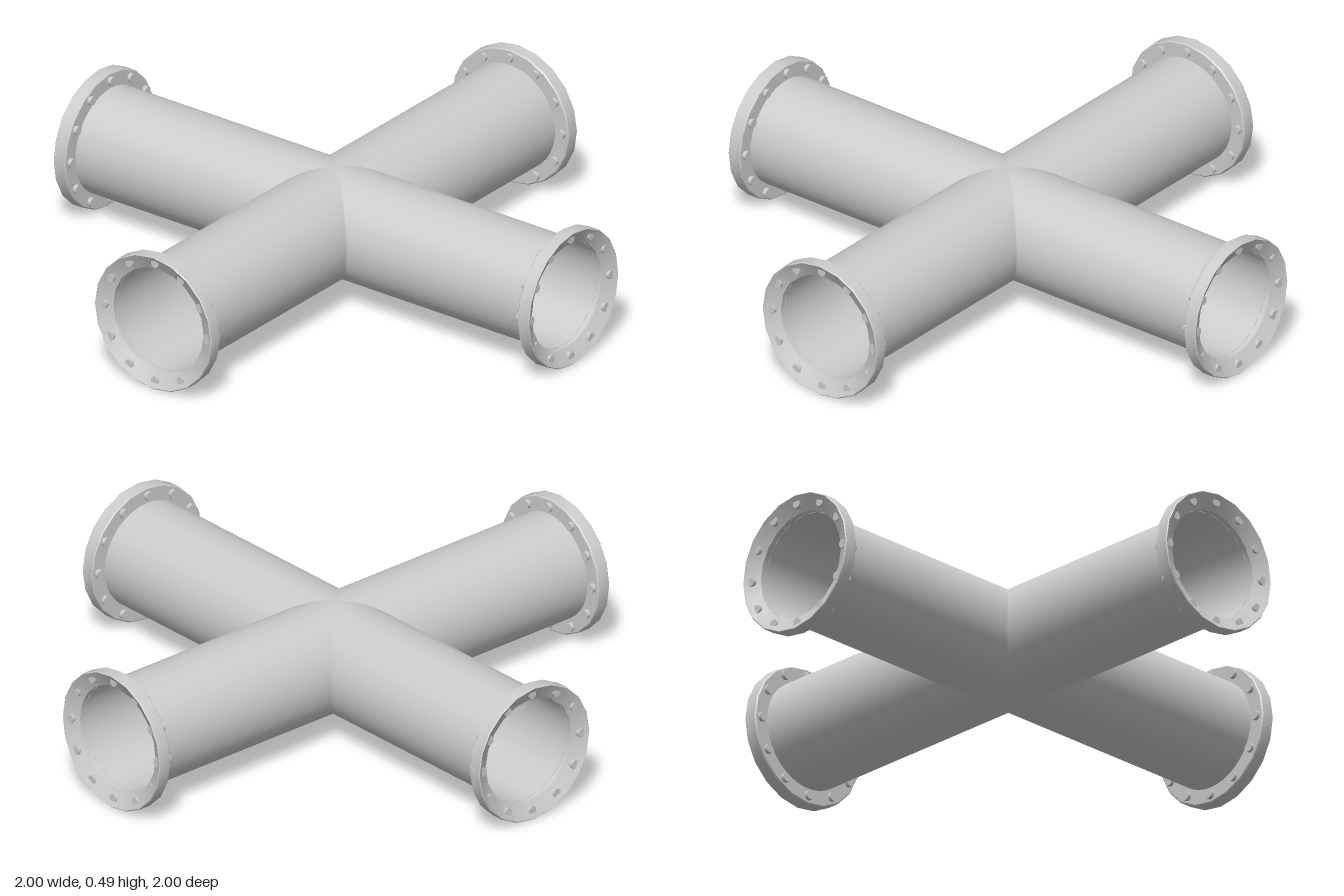
import * as THREE from 'three';
import { toCreasedNormals } from 'three/addons/utils/BufferGeometryUtils.js';

const PIPE_R = 0.19;
const FLANGE_R = 0.246;
const BOLT_RING_R = 0.218;
const BOLTS = 12;

// Pipe along +z whose inner end is mitred at 45 degrees to meet its neighbours
function mitredPipe() {
  const geo = new THREE.CylinderGeometry(PIPE_R, PIPE_R, 1, 40, 1, true);
  geo.rotateX(Math.PI / 2);
  const p = geo.attributes.position;
  for (let i = 0; i < p.count; i++) {
    p.setZ(i, p.getZ(i) > 0 ? 0.97 : Math.abs(p.getX(i)));
  }
  return geo;
}

// Collar with a shallow dished face
function flange() {
  const profile = [
    [PIPE_R, 0.95], [FLANGE_R - 0.004, 0.95], [FLANGE_R, 0.954],
    [FLANGE_R, 0.997], [FLANGE_R - 0.003, 1], [PIPE_R, 0.97],
  ].map(([r, y]) => new THREE.Vector2(r, y));
  const geo = new THREE.LatheGeometry(profile, 20);
  geo.rotateX(Math.PI / 2);
  return toCreasedNormals(geo, 0.6);
}

export function createModel() {
  const model = new THREE.Group();
  model.name = 'pipeCross';
  const metal = new THREE.MeshStandardMaterial({ color: 0xcccccc });
  const sheet = new THREE.MeshStandardMaterial({ color: 0xcccccc, side: THREE.DoubleSide });

  const pipeGeo = mitredPipe();
  const flangeGeo = flange();
  const boltGeo = new THREE.CylinderGeometry(0.016, 0.016, 0.054, 10);
  boltGeo.rotateX(Math.PI / 2);

  // Four equal arms around the vertical axis
  for (let k = 0; k < 4; k++) {
    const arm = new THREE.Group();
    arm.name = ['front', 'left', 'back', 'right'][k] + 'Arm';
    arm.rotation.y = k * Math.PI / 2;
    arm.position.y = FLANGE_R;

    const add = (geo, mat, name) => {
      const mesh = new THREE.Mesh(geo, mat);
      mesh.name = name;
      arm.add(mesh);
      return mesh;
    };
    add(pipeGeo, sheet, 'pipe');
    add(flangeGeo, sheet, 'flange');

    // Ring of bolts through the flange
    for (let i = 0; i < BOLTS; i++) {
      const a = (i / BOLTS) * Math.PI * 2;
      add(boltGeo, metal, 'bolt').position.set(
        Math.cos(a) * BOLT_RING_R, Math.sin(a) * BOLT_RING_R, 0.964);
    }
    model.add(arm);
  }
  return model;
}
